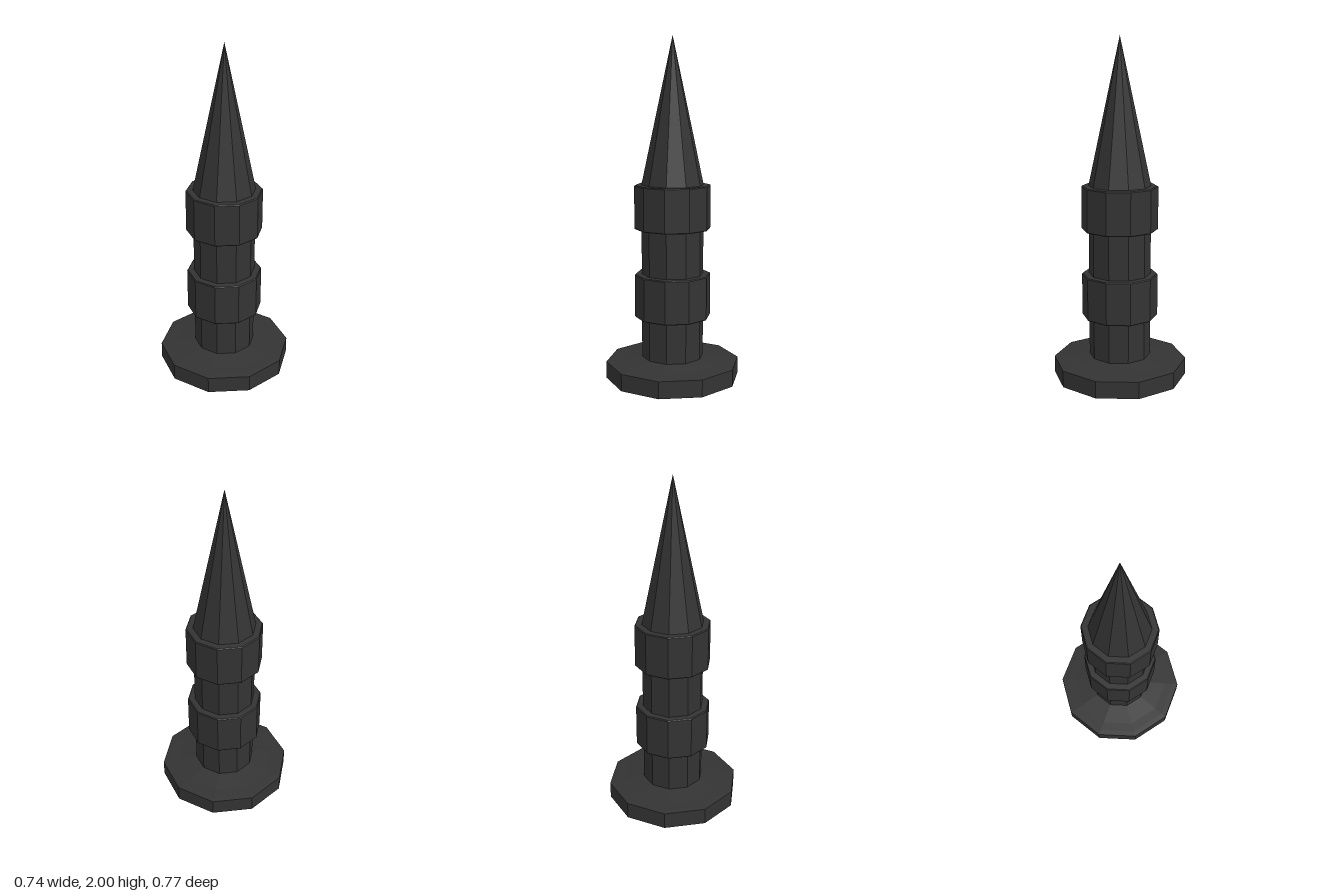
import * as THREE from 'three';

const SIDES = 10;
const SHAFT = 0.178;
const COLLAR = 0.219;

export function createModel() {
  const group = new THREE.Group();
  const darkIron = new THREE.MeshStandardMaterial({ color: 0x333333, flatShading: true });
  darkIron.name = 'darkIron';

  // Ten-sided turned part from a [radius, height] profile, listed bottom to top
  const turned = (name, profile) => {
    const points = profile.map(([r, y]) => new THREE.Vector2(r, y));
    const mesh = new THREE.Mesh(new THREE.LatheGeometry(points, SIDES), darkIron);
    mesh.name = name;
    group.add(mesh);
  };

  // Flange with a shallow sloped underside and a gently domed top
  turned('baseFlange', [
    [0, 0], [0.18, 0.004], [0.387, 0.04], [0.387, 0.138],
    [0.355, 0.142], [0.3, 0.147], [SHAFT, 0.165],
  ]);

  // Shaft sections between the collars
  turned('lowerShaft', [[SHAFT, 0.165], [SHAFT, 0.402]]);
  turned('upperShaft', [[SHAFT, 0.654], [SHAFT, 0.915]]);

  // Two identical raised collars with slightly eased rims
  [['lowerCollar', 0.402], ['upperCollar', 0.915]].forEach(([name, y]) => {
    turned(name, [
      [SHAFT, y], [COLLAR - 0.003, y], [COLLAR, y + 0.004],
      [COLLAR, y + 0.246], [COLLAR - 0.005, y + 0.251], [SHAFT, y + 0.252],
    ]);
  });

  // Pointed tip
  turned('spikeTip', [[SHAFT, 1.167], [0, 2]]);

  return group;
}
